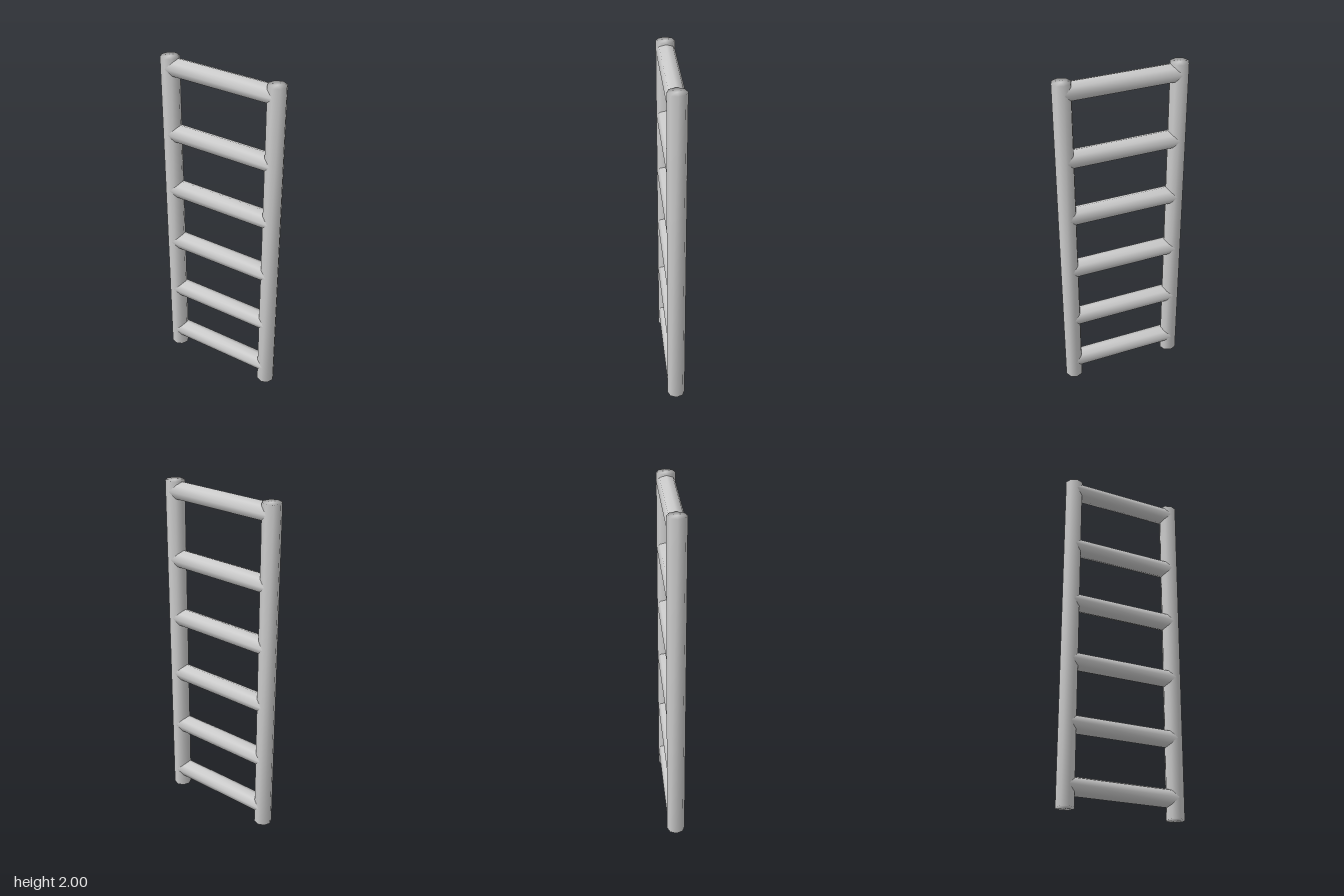
import * as THREE from 'three';
import { mergeVertices } from 'three/addons/utils/BufferGeometryUtils.js';

const RADIUS = 0.053;
const HEIGHT = 2;
const POST_X = 0.324;
const RUNG_HEIGHTS = [0.117, 0.456, 0.822, 1.188, 1.552, 1.944];

// Eight-sided pole, shaded smoothly across the sides and the end caps
function poleGeometry(length) {
  const geometry = new THREE.CylinderGeometry(RADIUS, RADIUS, length, 8);
  geometry.deleteAttribute('normal');
  geometry.deleteAttribute('uv');
  const welded = mergeVertices(geometry, 1e-4);
  welded.computeVertexNormals();
  return welded;
}

export function createModel() {
  const ladder = new THREE.Group();
  ladder.name = 'ladder';
  const material = new THREE.MeshStandardMaterial({ color: 0xcccccc });

  // Two upright side posts
  const postGeometry = poleGeometry(HEIGHT);
  for (const side of [-1, 1]) {
    const post = new THREE.Mesh(postGeometry, material);
    post.name = side > 0 ? 'leftPost' : 'rightPost';
    post.position.set(side * POST_X, HEIGHT / 2, 0);
    ladder.add(post);
  }

  // Rungs running between the post centres
  const rungGeometry = poleGeometry(2 * POST_X).rotateZ(Math.PI / 2);
  RUNG_HEIGHTS.forEach((y, i) => {
    const rung = new THREE.Mesh(rungGeometry, material);
    rung.name = `rung${i + 1}`;
    rung.position.y = y;
    ladder.add(rung);
  });

  return ladder;
}
